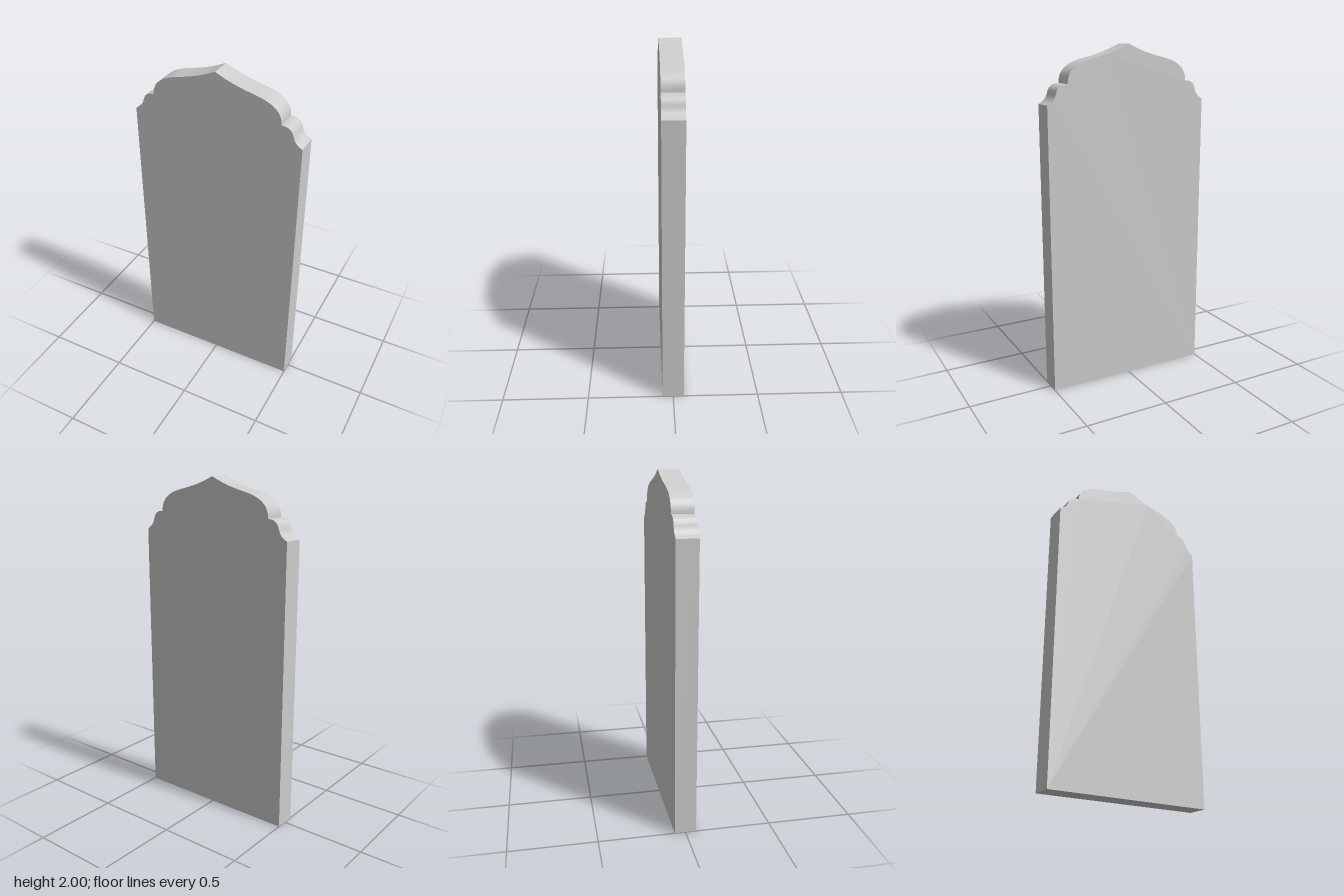
import * as THREE from 'three';
import { toCreasedNormals } from 'three/addons/utils/BufferGeometryUtils.js';

const DEPTH = 0.125;

// Right half of the crown, shoulder to peak: each row is two bezier handles and an end point
const START = [0.5, 1.68];
const CROWN = [
  [0.462, 1.7, 0.455, 1.715, 0.446, 1.745],
  [0.436, 1.78, 0.41, 1.79, 0.378, 1.79],
  [0.378, 1.86, 0.33, 1.9, 0.22, 1.925],
  [0.14, 1.943, 0.07, 1.965, 0, 2],
];

function slabShape() {
  const shape = new THREE.Shape();
  shape.moveTo(-START[0], 0);
  shape.lineTo(START[0], 0);
  shape.lineTo(...START);
  for (const c of CROWN) shape.bezierCurveTo(...c);
  // Mirrored half, walked back down from the peak
  for (let i = CROWN.length - 1; i >= 0; i--) {
    const [ax, ay, bx, by] = CROWN[i];
    const [ex, ey] = i > 0 ? CROWN[i - 1].slice(4) : START;
    shape.bezierCurveTo(-bx, by, -ax, ay, -ex, ey);
  }
  shape.closePath();
  return shape;
}

export function createModel() {
  const stone = new THREE.MeshStandardMaterial({ color: 0xcccccc });
  stone.name = 'pale grey stone';

  const geometry = new THREE.ExtrudeGeometry(slabShape(), {
    depth: DEPTH,
    bevelEnabled: false,
    curveSegments: 14,
  });
  geometry.translate(0, 0, -DEPTH / 2);

  // Upright slab with a scalloped, pointed crown
  const slab = new THREE.Mesh(toCreasedNormals(geometry, Math.PI / 7), stone);
  slab.name = 'headstoneSlab';

  const group = new THREE.Group();
  group.name = 'headstone';
  group.add(slab);
  return group;
}
